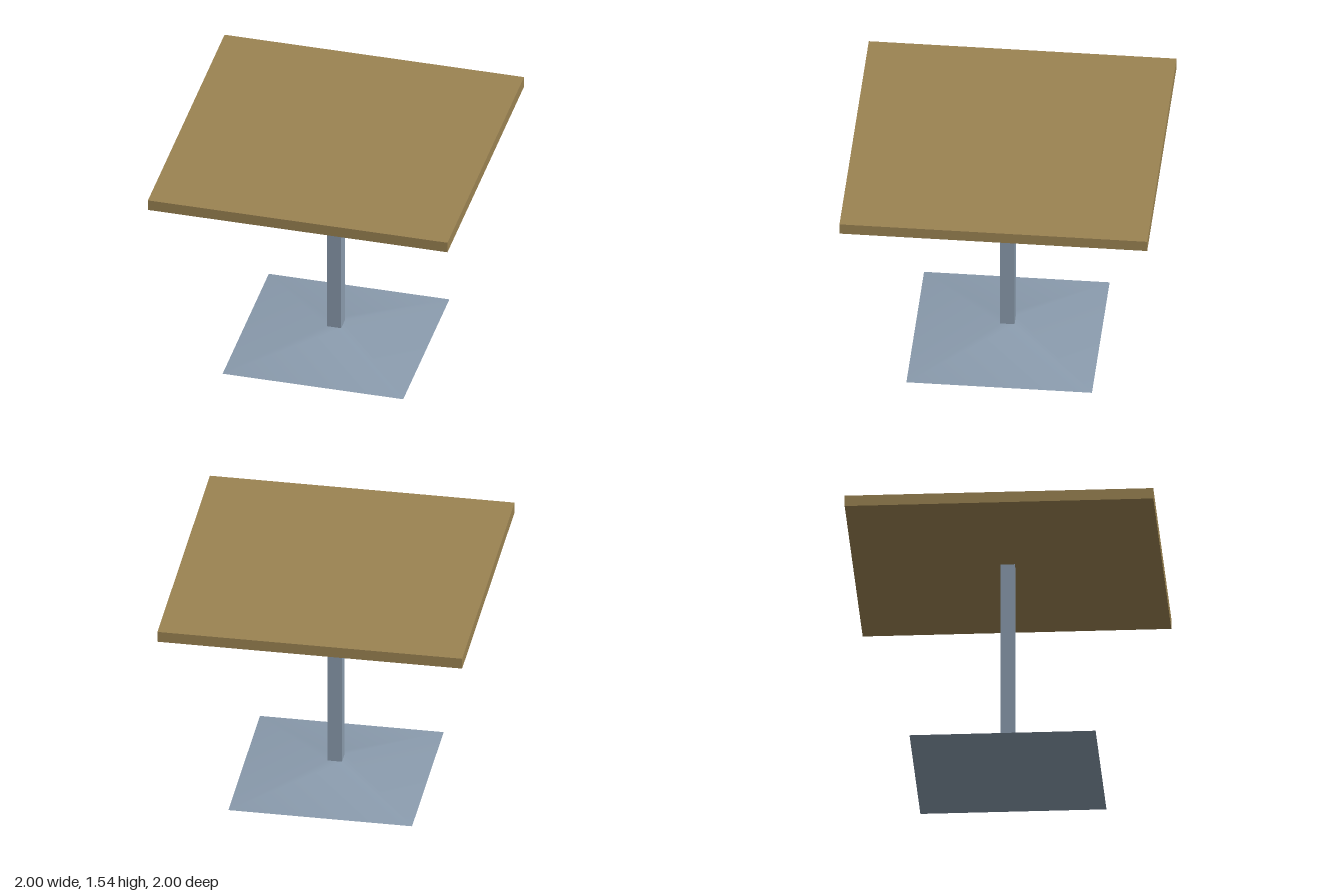
import * as THREE from 'three';

export function createModel() {
  const model = new THREE.Group();
  model.name = 'pedestalTable';
  const wood = new THREE.MeshStandardMaterial({ name: 'wood', color: 0x9b8352 });
  const metal = new THREE.MeshStandardMaterial({ name: 'blue grey metal', color: 0x8a9bad });

  const topBottom = 1.462, topHeight = 1.536, baseHeight = 0.103;
  const postWidth = 0.094, baseWidth = 1.206;

  function add(name, geometry, material, bottom, height) {
    const mesh = new THREE.Mesh(geometry, material);
    mesh.name = name;
    mesh.position.y = bottom + height / 2;
    model.add(mesh);
  }

  // Square slab top
  const slab = topHeight - topBottom;
  add('tableTop', new THREE.BoxGeometry(2, slab, 2), wood, topBottom, slab);

  // Square post between base and top
  const postHeight = topBottom - baseHeight;
  add('post', new THREE.BoxGeometry(postWidth, postHeight, postWidth), metal, baseHeight, postHeight);

  // Low four-sided base with softly shaded slopes, narrowing to the post
  const base = new THREE.CylinderGeometry(
    postWidth * Math.SQRT1_2, baseWidth * Math.SQRT1_2, baseHeight, 4);
  base.rotateY(Math.PI / 4);
  add('base', base, metal, 0, baseHeight);

  return model;
}
